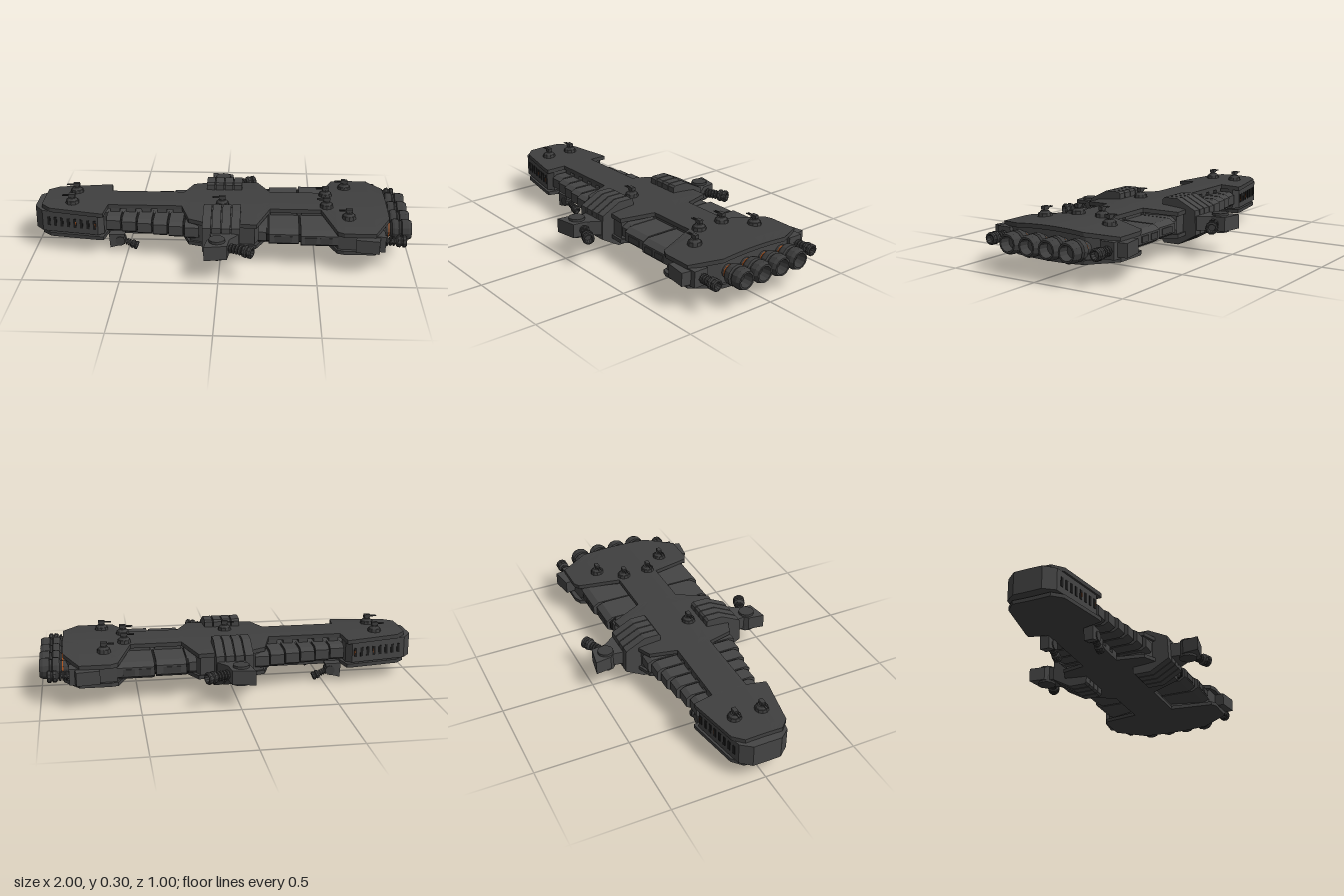
import * as THREE from 'three';

const mat = (name, color) => Object.assign(new THREE.MeshStandardMaterial({ color }), { name });
const M = {
  deck: mat('deck grey', 0x404040),
  hull: mat('hull grey', 0x454545),
  metal: mat('engine grey', 0x3d3d3d),
  dark: mat('recess black', 0x1c1c1c),
  orange: mat('warm light', 0xa8501c),
};

// Faceted copy of a geometry
function flat(geo) {
  const g = geo.index ? geo.toNonIndexed() : geo;
  g.computeVertexNormals();
  return g;
}

function add(parent, name, geo, material, x = 0, y = 0, z = 0) {
  const m = new THREE.Mesh(flat(geo), material);
  m.name = name;
  m.position.set(x, y, z);
  parent.add(m);
  return m;
}

const box = (p, name, m, w, h, d, x, y, z) => add(p, name, new THREE.BoxGeometry(w, h, d), m, x, y, z);

// Hull slab along x from [x, halfWidth] stations, with top and bottom bowed across z
function loft(stations, top, bottom, bowTop, bowBottom, n = 10) {
  const pos = [], idx = [], ring = 2 * (n + 1);
  for (const [x, w] of stations) {
    for (let j = 0; j < ring; j++) {
      const isTop = j <= n;
      const z = (isTop ? -1 + 2 * j / n : 1 - 2 * (j - n - 1) / n) * w;
      pos.push(x, isTop ? top - bowTop * z * z : bottom + bowBottom * z * z, z);
    }
  }
  for (let i = 0; i < stations.length - 1; i++) {
    for (let j = 0; j < ring; j++) {
      const a = i * ring + j, b = i * ring + (j + 1) % ring;
      idx.push(a, b, b + ring, a, b + ring, a + ring);
    }
  }
  const e = (stations.length - 1) * ring;
  for (let j = 0; j < n; j++) {
    const t = j, u = j + 1, v = ring - 2 - j, w = ring - 1 - j;
    idx.push(e + t, e + u, e + v, e + t, e + v, e + w, t, v, u, t, w, v);
  }
  const g = new THREE.BufferGeometry();
  g.setAttribute('position', new THREE.Float32BufferAttribute(pos, 3));
  g.setIndex(idx);
  return g;
}

const extrude = (pts, depth) => new THREE.ExtrudeGeometry(
  new THREE.Shape(pts.map(([a, b]) => new THREE.Vector2(a, b))), { depth, bevelEnabled: false });

// Profile in (z, y) swept from x0 to x1
const slice = (pts, x0, x1) =>
  extrude(pts.map(([z, y]) => [-z, y]), x1 - x0).rotateY(Math.PI / 2).translate(x0, 0, 0);

// Plan outline in (x, z) raised from y0 to y1
const plan = (pts, y0, y1) =>
  extrude(pts.map(([x, z]) => [x, -z]), y1 - y0).rotateX(-Math.PI / 2).translate(0, y0, 0);

// Symmetric chamfered cross-section
const section = (w, y0, y1, c) => [
  [w, y0 + c], [w, y1 - c], [w - 1.6 * c, y1], [-w + 1.6 * c, y1],
  [-w, y1 - c], [-w, y0 + c], [-w + 1.6 * c, y0], [w - 1.6 * c, y0]];

const lathe = (pts, seg) =>
  new THREE.LatheGeometry(pts.map(([r, y]) => new THREE.Vector2(r, y)), seg).rotateZ(-Math.PI / 2);

// Small thruster: coiled neck and hollow bell pointing along dir
function thruster(parent, name, x, y, z, dir, s = 1) {
  const g = new THREE.Group();
  g.name = name;
  g.position.set(x, y, z);
  g.quaternion.setFromUnitVectors(new THREE.Vector3(1, 0, 0), dir.clone().normalize());
  g.scale.setScalar(s);
  add(g, 'neck', new THREE.CylinderGeometry(0.016, 0.016, 0.09, 8).rotateZ(Math.PI / 2), M.metal, 0.035);
  for (let i = 0; i < 4; i++)
    add(g, 'coil', new THREE.TorusGeometry(0.021, 0.007, 6, 10).rotateY(Math.PI / 2), M.metal, 0.005 + i * 0.018);
  add(g, 'bell', lathe([[0, 0.07], [0.022, 0.07], [0.033, 0.08], [0.035, 0.095], [0.028, 0.1], [0.028, 0.106],
    [0.034, 0.11], [0.034, 0.125], [0.028, 0.13], [0.022, 0.13], [0.018, 0.105], [0, 0.105]], 10), M.metal);
  parent.add(g);
}

// Twin-barrel deck gun facing the bow
function turret(parent, x, z) {
  const g = new THREE.Group();
  g.name = 'turret';
  g.position.set(x, 0.25 - 0.23 * z * z, z);
  const cyl = (r0, r1, h, y) => add(g, 'mount', new THREE.CylinderGeometry(r0, r1, h, 10), M.metal, 0, y, 0);
  cyl(0.034, 0.038, 0.024, 0.008);
  cyl(0.02, 0.03, 0.012, 0.026);
  cyl(0.011, 0.013, 0.016, 0.036);
  box(g, 'gun head', M.metal, 0.034, 0.018, 0.022, 0, 0.046, 0);
  for (const s of [-1, 1])
    add(g, 'barrel', new THREE.CylinderGeometry(0.003, 0.003, 0.045, 6).rotateZ(Math.PI / 2), M.metal, -0.03, 0.046, s * 0.006);
  parent.add(g);
}

export function createModel() {
  const ship = new THREE.Group();
  ship.name = 'starship';

  // Upper and lower armour decks
  const outline = [[-0.96, 0.1], [-0.91, 0.148], [-0.64, 0.2], [-0.62, 0.2], [-0.605, 0.095], [-0.21, 0.095],
    [-0.165, 0.235], [-0.09, 0.265], [0.19, 0.285], [0.26, 0.115], [0.53, 0.115], [0.605, 0.335],
    [0.64, 0.352], [0.8, 0.352], [0.88, 0.2]];
  add(ship, 'upperDeck', loft(outline, 0.254, 0.232, 0.23, -0.23), M.deck);
  add(ship, 'lowerDeck', loft(outline, 0.103, 0.083, -0.2, 0.2), M.deck);

  // Hull between the decks: bow, waist, stern
  add(ship, 'bowHull', loft([[-1, 0.075], [-0.955, 0.13], [-0.65, 0.188], [-0.62, 0.16]], 0.231, 0.108, 0.23, 0.2), M.hull);
  add(ship, 'core', slice(section(0.09, 0.127, 0.213, 0.01), -0.64, 0.62), M.hull);
  add(ship, 'midHull', loft([[-0.16, 0.22], [-0.09, 0.25], [0.18, 0.27], [0.22, 0.13]], 0.234, 0.1, 0.23, 0.2), M.hull);
  add(ship, 'sternHull', loft([[0.55, 0.12], [0.61, 0.32], [0.8, 0.335], [0.865, 0.2]], 0.234, 0.1, 0.23, 0.2), M.hull);

  // Stepped flank blocks and the ribs that carry the decks
  for (let i = 0; i < 6; i++) {
    const x = -0.605 + i * 0.084, w = 0.178 + i * 0.015;
    add(ship, 'flankBlock', slice(section(w, 0.128, 0.212, 0.016), x, x + 0.074), M.hull);
    add(ship, 'flankJoint', slice(section(w - 0.02, 0.135, 0.205, 0.01), x + 0.07, x + 0.09), M.dark);
    box(ship, 'rib', M.hull, 0.05, 0.13, 0.19, x + 0.037, 0.168, 0);
  }
  for (const [x0, x1, w] of [[0.2, 0.25, 0.28], [0.255, 0.41, 0.305], [0.42, 0.62, 0.32]]) {
    add(ship, 'aftBlock', slice(section(w, 0.125, 0.213, 0.02), x0, x1), M.hull);
    box(ship, 'rib', M.hull, x1 - x0 - 0.015, 0.13, 0.21, (x0 + x1) / 2, 0.168, 0);
  }
  add(ship, 'aftJoint', slice(section(0.29, 0.13, 0.208, 0.02), 0.24, 0.6), M.dark);

  for (const s of [-1, 1]) {
    // Raised armour slats amidships
    const slat = [[0.137, 0.1], [0.137, 0.278], [0.147, 0.288], [0.227, 0.288], [0.334, 0.234],
      [0.34, 0.105], [0.235, 0.045], [0.147, 0.045], [0.137, 0.055]];
    for (let i = 0; i < 4; i++) {
      const x = -0.088 + i * 0.05;
      add(ship, 'armourSlat', slice(slat.map(([z, y]) => [z * s, y]), x, x + 0.044), M.hull);
    }
    add(ship, 'slatCore', slice([[0.15, 0.06], [0.15, 0.275], [0.22, 0.275], [0.32, 0.225], [0.32, 0.11], [0.23, 0.06]]
      .map(([z, y]) => [z * s, y]), -0.08, 0.1), M.metal);

    // Outrigger pod with angled thruster
    const pod = [[-0.072, 0.497], [0.045, 0.477], [0.055, 0.4], [0.1, 0.34], [0.1, 0.3], [-0.05, 0.3], [-0.04, 0.39], [-0.06, 0.41]];
    add(ship, 'outrigger', plan(pod.map(([x, z]) => [x, z * s]), 0.13, 0.205), M.hull);
    add(ship, 'podDrum', new THREE.CylinderGeometry(0.042, 0.048, 0.1, 12), M.metal, -0.008, 0.168, 0.42 * s);
    thruster(ship, 'outriggerThruster', 0.06, 0.168, 0.42 * s, new THREE.Vector3(1, 0, 0.45 * s), 0.95);

    // Stern corner armour and side thruster
    const corner = box(ship, 'cornerArmour', M.hull, 0.12, 0.07, 0.06, 0.76, 0.17, 0.36 * s);
    corner.rotation.y = -0.15 * s;
    box(ship, 'thrusterMount', M.hull, 0.12, 0.085, 0.08, 0.79, 0.168, 0.31 * s);
    thruster(ship, 'sternThruster', 0.84, 0.168, 0.312 * s - 0.008, new THREE.Vector3(1, 0, 0), 0.92);

    // Belly thruster
    add(ship, 'bellyMount', extrude([[-0.6, 0.1], [-0.595, 0.022], [-0.53, 0.04], [-0.515, 0.1]], 0.05), M.hull, 0, 0, 0.12 * s - 0.025);
    add(ship, 'bellyPivot', new THREE.CylinderGeometry(0.026, 0.026, 0.06, 10).rotateX(Math.PI / 2), M.metal, -0.54, 0.062, 0.12 * s);
    thruster(ship, 'bellyThruster', -0.53, 0.058, 0.12 * s, new THREE.Vector3(1, -0.42, 0), 0.68);

    // Gun ports along the bow
    for (let i = 0; i < 8; i++) {
      const x = -0.92 + i * 0.036;
      const port = box(ship, 'gunPort', M.dark, 0.016, 0.05, 0.006, x, 0.17, s * (0.13 + (x + 0.955) * 0.19));
      port.rotation.y = -0.19 * s;
    }
    for (const x of [-0.775, -0.667]) {
      const lamp = box(ship, 'sideLamp', M.orange, 0.004, 0.022, 0.006, x + 0.004, 0.17, s * (0.132 + (x + 0.955) * 0.19));
      lamp.rotation.y = -0.19 * s;
    }
    // Flank hatches
    for (const [x, w, z] of [[0.33, 0.09, 0.305], [0.47, 0.06, 0.32], [0.55, 0.06, 0.32]])
      box(ship, 'flankHatch', M.metal, w, 0.032, 0.008, x, 0.168, z * s);

    for (const [x, z] of [[-0.8, 0.074], [0.56, 0.074], [0.67, 0.197]]) turret(ship, x, z * s);
  }
  turret(ship, 0.005, 0.07);

  // Main engines
  for (let i = 0; i < 4; i++) {
    const z = -0.19 + i * 0.117;
    add(ship, 'mainEngine', lathe([[0, 0], [0.036, 0], [0.036, 0.04], [0.052, 0.048], [0.056, 0.06], [0.056, 0.082],
      [0.046, 0.088], [0.046, 0.096], [0.055, 0.1], [0.055, 0.132], [0.047, 0.15], [0.038, 0.15],
      [0.032, 0.1], [0, 0.1]], 12), M.metal, 0.85, 0.168, z);
    add(ship, 'engineGlowBand', new THREE.CylinderGeometry(0.038, 0.038, 0.006, 12).rotateZ(Math.PI / 2), M.orange, 0.882, 0.168, z);
  }
  return ship;
}
